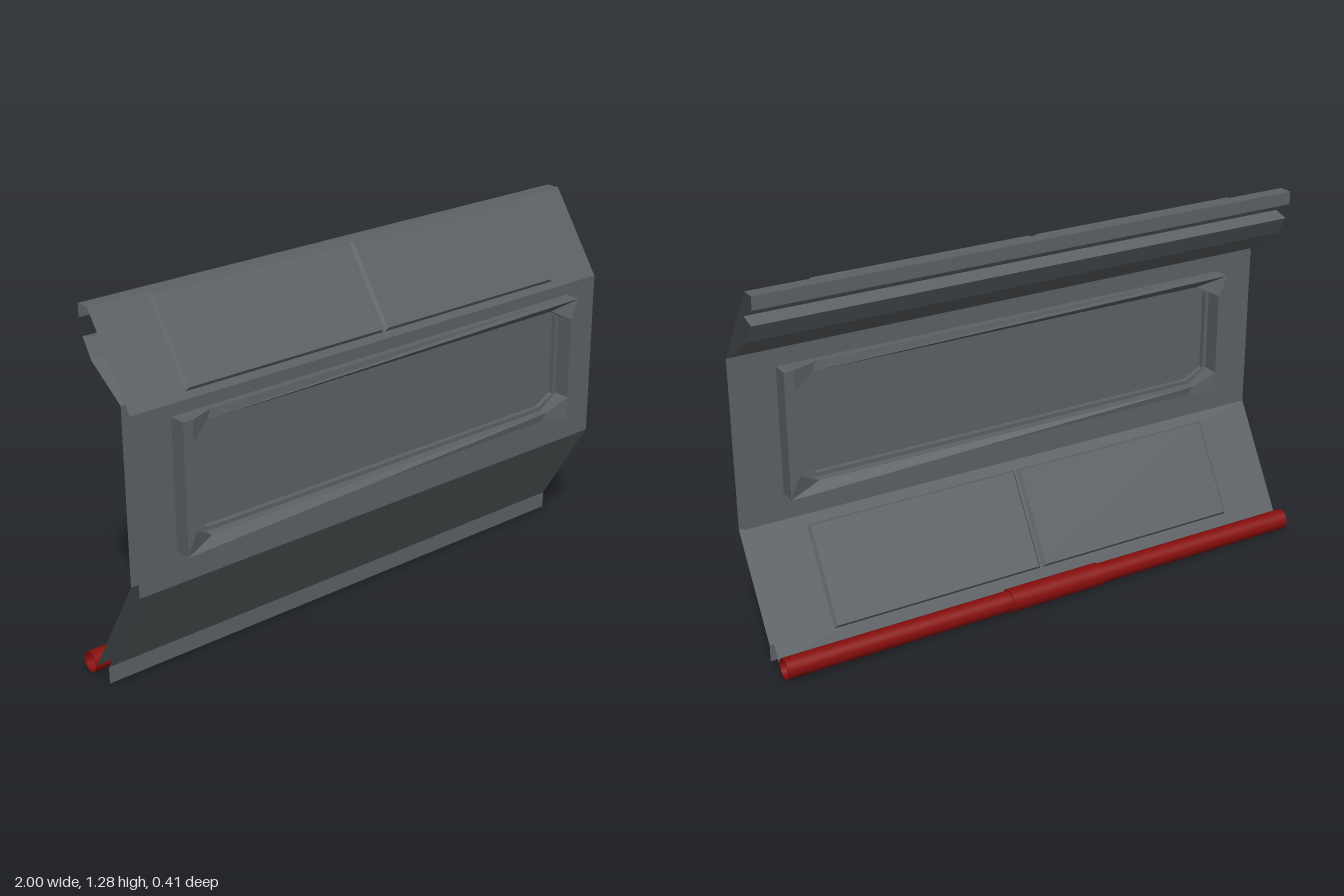
import * as THREE from 'three';

const gray = new THREE.MeshStandardMaterial({ color: 0x5c6164, side: THREE.DoubleSide });
gray.name = 'steel gray';
const red = new THREE.MeshStandardMaterial({ color: 0x860e0d, side: THREE.DoubleSide });
red.name = 'dark red';

const FRONT_Z = 0.145, BACK_Z = 0.1, MID_Z = (FRONT_Z + BACK_Z) / 2;

function add(parent, name, geometry, material = gray) {
  const mesh = new THREE.Mesh(geometry, material);
  mesh.name = name;
  parent.add(mesh);
  return mesh;
}

// Folded sheet: a [z, y] profile swept along the full width
function sheet(profile) {
  const pos = [];
  for (let i = 0; i + 1 < profile.length; i++) {
    const [z0, y0] = profile[i], [z1, y1] = profile[i + 1];
    pos.push(-1, y0, z0, 1, y0, z0, 1, y1, z1, -1, y0, z0, 1, y1, z1, -1, y1, z1);
  }
  const g = new THREE.BufferGeometry();
  g.setAttribute('position', new THREE.Float32BufferAttribute(pos, 3));
  g.computeVertexNormals();
  return g;
}

// Window outline with cut corners, shrunk by an inset
function octagon(inset = 0) {
  const x = 0.82 - inset, cx = 0.745 - inset * 0.6;
  const y0 = 0.545 + inset, y1 = 0.93 - inset, c0 = 0.595, c1 = 0.89;
  return [[cx, y0], [x, c0], [x, c1], [cx, y1], [-cx, y1], [-x, c1], [-x, c0], [-cx, y0]]
    .map(p => new THREE.Vector2(...p));
}

function plate(points, hole) {
  const s = new THREE.Shape(points.map(p => (p.isVector2 ? p : new THREE.Vector2(...p))));
  if (hole) s.holes.push(new THREE.Path(hole));
  return s;
}

// Raised panel whose front edges are chamfered
function raisedPanel(w, h, t) {
  const g = new THREE.BoxGeometry(w, h, t).toNonIndexed();
  g.translate(0, 0, t / 2);
  const p = g.attributes.position;
  for (let i = 0; i < p.count; i++) {
    if (p.getZ(i) < t / 2) continue;
    p.setX(i, p.getX(i) - Math.sign(p.getX(i)) * 0.01);
    p.setY(i, p.getY(i) - Math.sign(p.getY(i)) * 0.006);
  }
  g.computeVertexNormals();
  return g;
}

function panelPair(name, length) {
  const pair = new THREE.Group();
  pair.name = name;
  for (const side of [-1, 1]) {
    add(pair, 'raisedPanel', raisedPanel(0.785, length, 0.012)).position.x = side * 0.397;
  }
  return pair;
}

// Window surround: low rails, rising towards both ends
function windowFrame() {
  const xs = [-0.855, -0.82, -0.73, 0.73, 0.82, 0.855];
  const outline = [...xs.map(x => [x, 0.515]), ...xs.slice().reverse().map(x => [x, 0.96])];
  const g = new THREE.ExtrudeGeometry(plate(outline, octagon()),
    { depth: 0.025, bevelEnabled: false });
  const p = g.attributes.position;
  for (let i = 0; i < p.count; i++) {
    if (p.getZ(i) < 0.01) continue;
    const rise = THREE.MathUtils.clamp((Math.abs(p.getX(i)) - 0.73) / 0.09, 0, 1);
    p.setZ(i, 0.025 + 0.035 * rise);
  }
  g.computeVertexNormals();
  return g;
}

// Hollow pipe along x
function pipe(name, radius, bore, x0, x1) {
  const g = new THREE.Group();
  g.name = name;
  for (const r of [radius, bore]) {
    const tube = add(g, 'pipeWall', new THREE.CylinderGeometry(r, r, x1 - x0, 32, 1, true), red);
    tube.rotation.z = Math.PI / 2;
    tube.position.x = (x0 + x1) / 2;
  }
  for (const [x, turn] of [[x0, -1], [x1, 1]]) {
    const rim = add(g, 'pipeRim', new THREE.RingGeometry(bore, radius, 32), red);
    rim.rotation.y = turn * Math.PI / 2;
    rim.position.x = x;
  }
  g.position.set(0, 0.041, -0.165);
  return g;
}

export function createModel() {
  const model = new THREE.Group();
  model.name = 'wallPanel';

  // Front skin: upper slope with lip, lower slope with flange
  add(model, 'frontUpperSlope', sheet([[FRONT_Z, 1], [-0.05, 1.285], [-0.1, 1.285], [-0.1, 1.24]]));
  add(model, 'frontLowerSlope', sheet([[FRONT_Z, 0.4], [-0.055, 0.07], [-0.055, 0.01]]));

  // Back skin: short folded top, long lower slope
  add(model, 'backUpperSlope', sheet([[BACK_Z, 1.02], [-0.045, 1.12], [-0.085, 1.185], [-0.03, 1.2]]));
  add(model, 'backLowerSlope', sheet([[BACK_Z, 0.42], [-0.125, 0.045]]));

  // Upright walls with the window opening
  for (const [name, z, y0, y1] of [['frontWall', FRONT_Z, 0.4, 1], ['backWall', BACK_Z, 0.42, 1.02]]) {
    const g = new THREE.ShapeGeometry(plate([[-1, y0], [1, y0], [1, y1], [-1, y1]], octagon()));
    if (z === BACK_Z) g.rotateY(Math.PI);
    add(model, name, g).position.z = z;
  }

  // Window surrounds on both faces
  add(model, 'frontWindowFrame', windowFrame()).position.z = FRONT_Z;
  const backFrame = add(model, 'backWindowFrame', windowFrame());
  backFrame.rotation.y = Math.PI;
  backFrame.position.z = BACK_Z;

  // Recess lining and the pane in its middle
  const lining = new THREE.ExtrudeGeometry(plate(octagon(), octagon(0.014)),
    { depth: FRONT_Z - BACK_Z, bevelEnabled: false });
  add(model, 'recessLining', lining).position.z = BACK_Z;
  const pane = new THREE.ExtrudeGeometry(plate(octagon(0.01)), { depth: 0.008, bevelEnabled: false });
  add(model, 'recessPane', pane).position.z = MID_Z - 0.004;

  // Raised panels on the upper front and lower back slopes
  const upper = panelPair('upperFrontPanels', 0.315);
  upper.position.set(0, 1.15, 0.0424);
  upper.rotation.x = -Math.atan2(0.195, 0.285);
  const lower = panelPair('lowerBackPanels', 0.35);
  lower.position.set(0, 0.24, -0.008);
  lower.rotation.set(Math.atan2(0.225, 0.375), Math.PI, 0);
  model.add(upper, lower);

  // Red pipe with its thicker sleeve
  model.add(pipe('pipe', 0.036, 0.031, -1, 1));
  model.add(pipe('pipeSleeve', 0.041, 0.036, -0.19, 0.17));

  return model;
}
